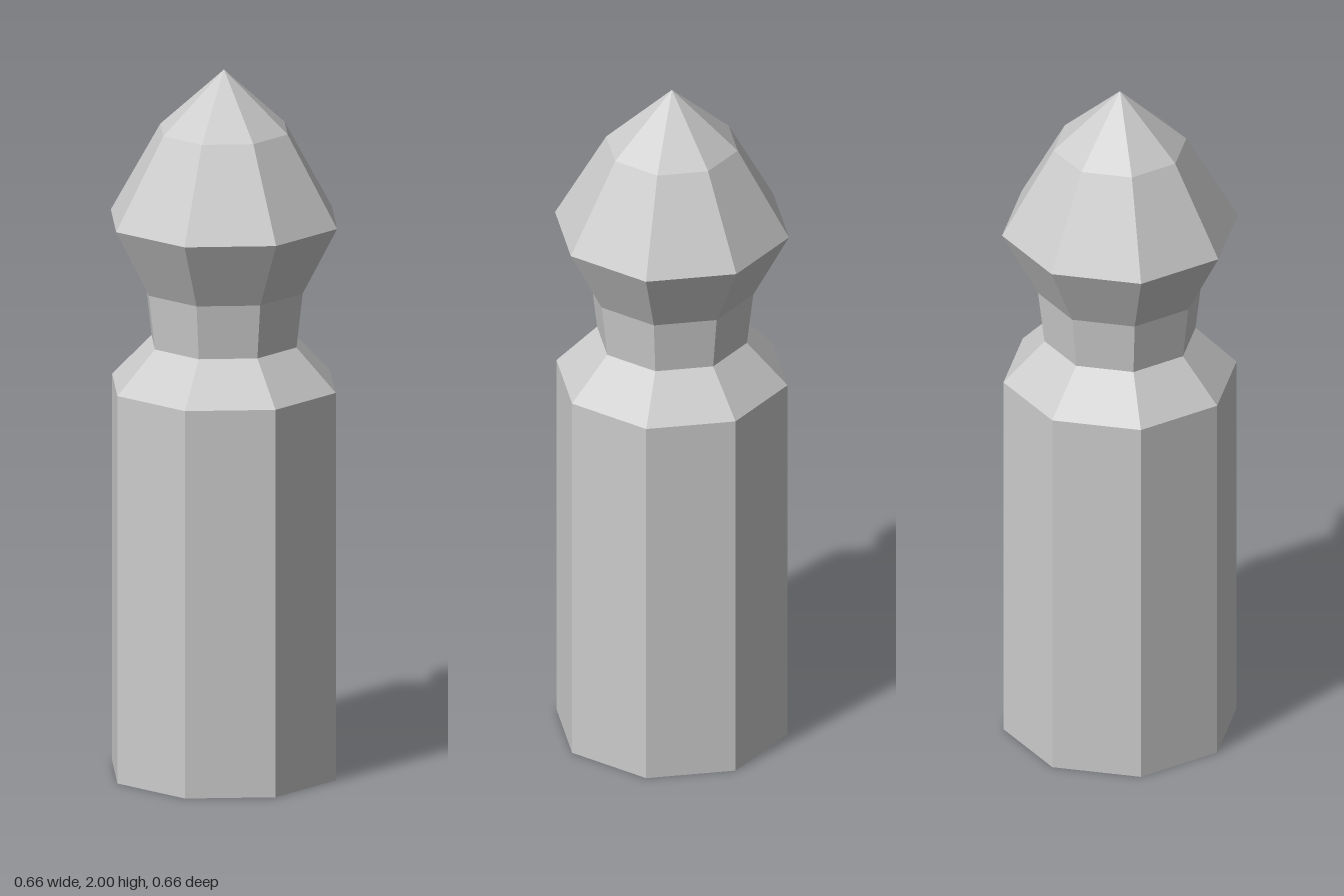
import * as THREE from 'three';

const SIDES = 8;

export function createModel() {
  const group = new THREE.Group();
  group.name = 'post';
  const material = new THREE.MeshStandardMaterial({
    color: 0xcccccc, flatShading: true, side: THREE.DoubleSide,
  });

  // An open eight-sided ring between two heights, with corners on the axes
  const addRing = (name, bottomRadius, bottomY, topRadius, topY) => {
    const geometry = new THREE.CylinderGeometry(
      topRadius, bottomRadius, topY - bottomY, SIDES, 1, true);
    const mesh = new THREE.Mesh(geometry, material);
    mesh.name = name;
    mesh.position.y = (bottomY + topY) / 2;
    group.add(mesh);
  };

  // Hollow shaft, open at the foot
  addRing('shaft', 0.327, 0, 0.327, 1.105);
  addRing('shoulder', 0.327, 1.105, 0.212, 1.225);

  // Neck flaring out towards the head
  addRing('neck', 0.212, 1.225, 0.23, 1.38);
  addRing('headUnderside', 0.23, 1.38, 0.331, 1.573);

  // Faceted head closing to a point
  addRing('headSide', 0.331, 1.573, 0.186, 1.83);
  addRing('headTip', 0.186, 1.83, 0, 2);

  return group;
}
